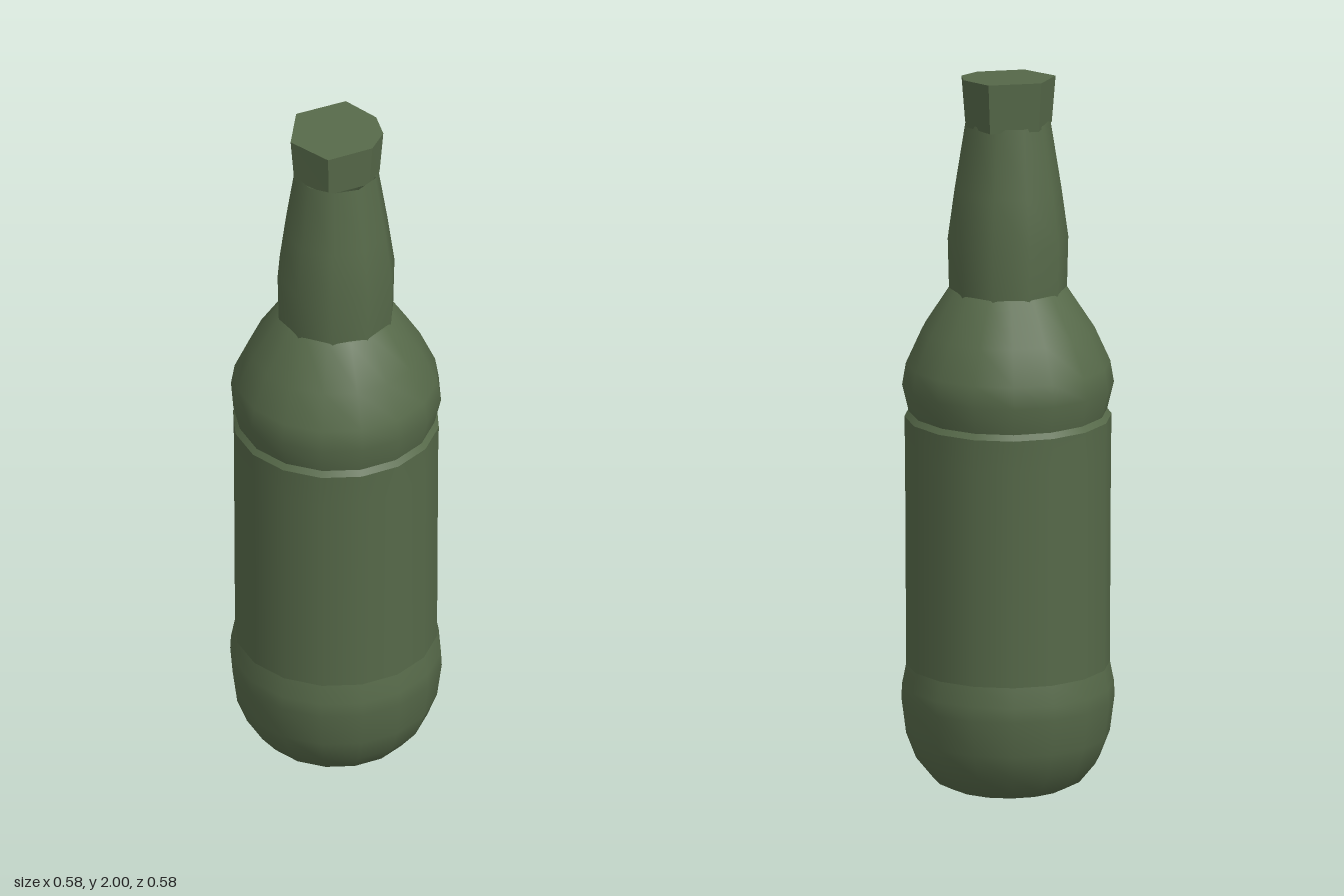
import * as THREE from 'three';

const glass = new THREE.MeshStandardMaterial({ color: 0x566949, side: THREE.DoubleSide });
const facetedGlass = glass.clone();
facetedGlass.flatShading = true;

// Revolve a [radius, height] profile, listed from bottom to top
function turned(name, profile, sides, material = glass, start = 0) {
  const points = profile.map(([r, y]) => new THREE.Vector2(r, y));
  const mesh = new THREE.Mesh(new THREE.LatheGeometry(points, sides, start), material);
  mesh.name = name;
  return mesh;
}

export function createModel() {
  const bottle = new THREE.Group();
  bottle.name = 'bottle';

  // Flat underside
  bottle.add(turned('underside', [[0, 0], [0.165, 0.005]], 16));

  // Rounded, slightly bulging base
  bottle.add(turned('base', [
    [0.165, 0.005], [0.205, 0.025], [0.25, 0.08], [0.277, 0.15],
    [0.29, 0.25], [0.288, 0.29], [0.277, 0.345],
  ], 16));

  // Straight label panel, with a small step under the shoulder
  bottle.add(turned('labelPanel', [[0.277, 0.345], [0.28, 0.95], [0.282, 1.04]], 16));
  bottle.add(turned('panelStep', [[0.282, 1.04], [0.27, 1.055]], 16));

  // Shoulder curving in to the neck
  bottle.add(turned('shoulder', [
    [0.27, 1.055], [0.288, 1.13], [0.278, 1.19], [0.235, 1.285], [0.16, 1.4], [0.13, 1.405],
  ], 16));

  // Tapering neck with few sides
  bottle.add(turned('neck', [
    [0.16, 1.38], [0.164, 1.54], [0.145, 1.68], [0.115, 1.87],
  ], 10, glass, Math.PI / 2));

  // Irregular faceted lip, outline in x and z
  const outline = [
    [-0.13, 0.01], [-0.05, 0.107], [0.08, 0.085], [0.125, 0.03],
    [0.123, -0.04], [0.06, -0.125], [-0.085, -0.103],
  ];
  const shape = new THREE.Shape(outline.map(([x, z]) => new THREE.Vector2(x, -z)));
  const lipGeometry = new THREE.ExtrudeGeometry(shape, { depth: 0.13, bevelEnabled: false });
  lipGeometry.rotateX(-Math.PI / 2).translate(0, 1.86, 0);

  // Narrow the foot of the lip and tip its top slightly upward at the back
  const p = lipGeometry.attributes.position;
  for (let i = 0; i < p.count; i++) {
    const x = p.getX(i), y = p.getY(i), z = p.getZ(i);
    if (y < 1.9) p.setXYZ(i, x * 0.92, y, z * 0.92);
    else p.setY(i, y - z * 0.08);
  }
  lipGeometry.computeVertexNormals();
  const lip = new THREE.Mesh(lipGeometry, facetedGlass);
  lip.name = 'lip';
  bottle.add(lip);

  return bottle;
}
